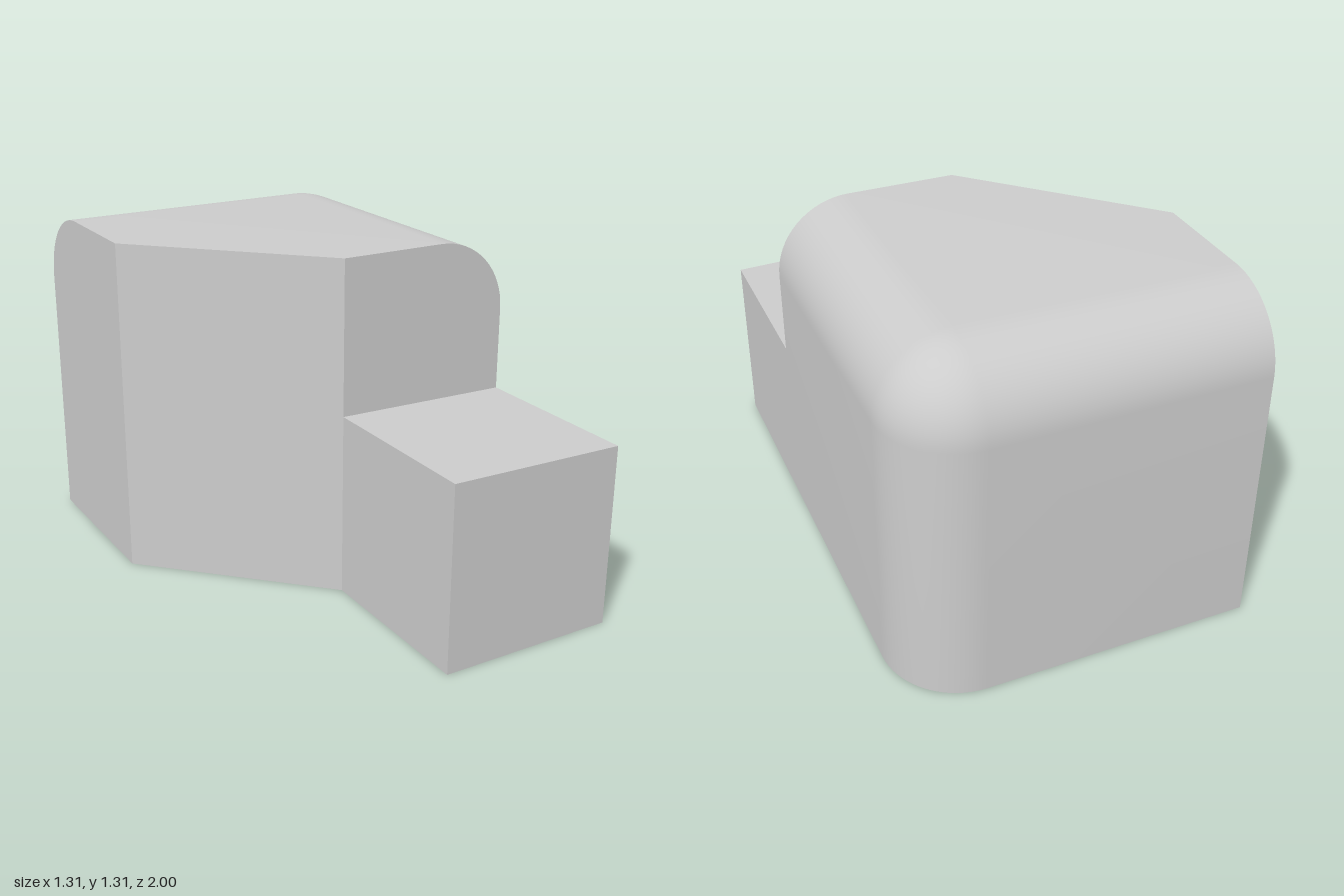
import * as THREE from 'three';
import { toCreasedNormals } from 'three/addons/utils/BufferGeometryUtils.js';

const V = (x, y, z) => new THREE.Vector3(x, y, z);
const RIGHT = 0.655, INNER = -0.045, LEFT = -0.655; // x positions
const BACK = -1, STEP = 0.31, FRONT = 1;            // z positions
const TOP = 1.31, R = 0.285, SEG = 16;              // height and fillet
const STEP_IN = 0.715, STEP_OUT = 0.702;            // slightly sloped step top

// Quads between successive cross-sections
function skin(rows) {
  const out = [];
  for (let i = 0; i < rows.length - 1; i++) {
    for (let j = 0; j < rows[i].length - 1; j++) {
      const a = rows[i][j], b = rows[i][j + 1], c = rows[i + 1][j + 1], d = rows[i + 1][j];
      out.push([a, d, c], [a, c, b]);
    }
  }
  return out;
}

// Flat convex face
function fan(points) {
  const out = [];
  for (let i = 1; i < points.length - 1; i++) out.push([points[0], points[i], points[i + 1]]);
  return out;
}

function makeMesh(name, triangles) {
  const solid = triangles.filter(([a, b, c]) => new THREE.Triangle(a, b, c).getArea() > 1e-8);
  const geometry = new THREE.BufferGeometry().setFromPoints(solid.flat());
  const mesh = new THREE.Mesh(toCreasedNormals(geometry, 0.5), new THREE.MeshStandardMaterial({ color: 0xcccccc }));
  mesh.name = name;
  return mesh;
}

// Body outline at height y, drawn in by d on the two filleted sides
function outline(y, d) {
  const ring = [V(INNER, y, STEP), V(LEFT, y, -0.3), V(LEFT, y, BACK + d)];
  for (let i = 0; i <= SEG; i++) {
    const t = (i / SEG) * Math.PI / 2;
    ring.push(V(RIGHT - R + (R - d) * Math.sin(t), y, BACK + R - (R - d) * Math.cos(t)));
  }
  ring.push(V(RIGHT - d, y, STEP));
  return ring;
}

export function createModel() {
  const group = new THREE.Group();
  group.name = 'steppedBlock';

  // Tall body: straight walls, then a quarter-round fillet to the flat top
  const rows = [outline(0, 0)];
  for (let i = 0; i <= SEG; i++) {
    const t = (i / SEG) * Math.PI / 2;
    rows.push(outline(TOP - R + R * Math.sin(t), R * (1 - Math.cos(t))));
  }
  const top = rows[rows.length - 1];

  // Front wall above the step, following the fillet at its outer edge
  const wall = [V(INNER, STEP_IN, STEP), V(RIGHT, STEP_OUT, STEP)];
  for (const row of rows.slice(1)) wall.push(row[row.length - 1]);
  wall.push(V(INNER, TOP, STEP));

  group.add(makeMesh('body', [...skin(rows), ...fan(rows[0]), ...fan([...top].reverse()), ...fan(wall)]));

  // Low block in front
  const section = z => [V(INNER, 0, z), V(INNER, STEP_IN, z), V(RIGHT, STEP_OUT, z), V(RIGHT, 0, z), V(INNER, 0, z)];
  const end = section(FRONT);
  group.add(makeMesh('frontStep', [...skin([section(STEP), end]), ...fan(end.slice(0, 4).reverse())]));

  return group;
}
